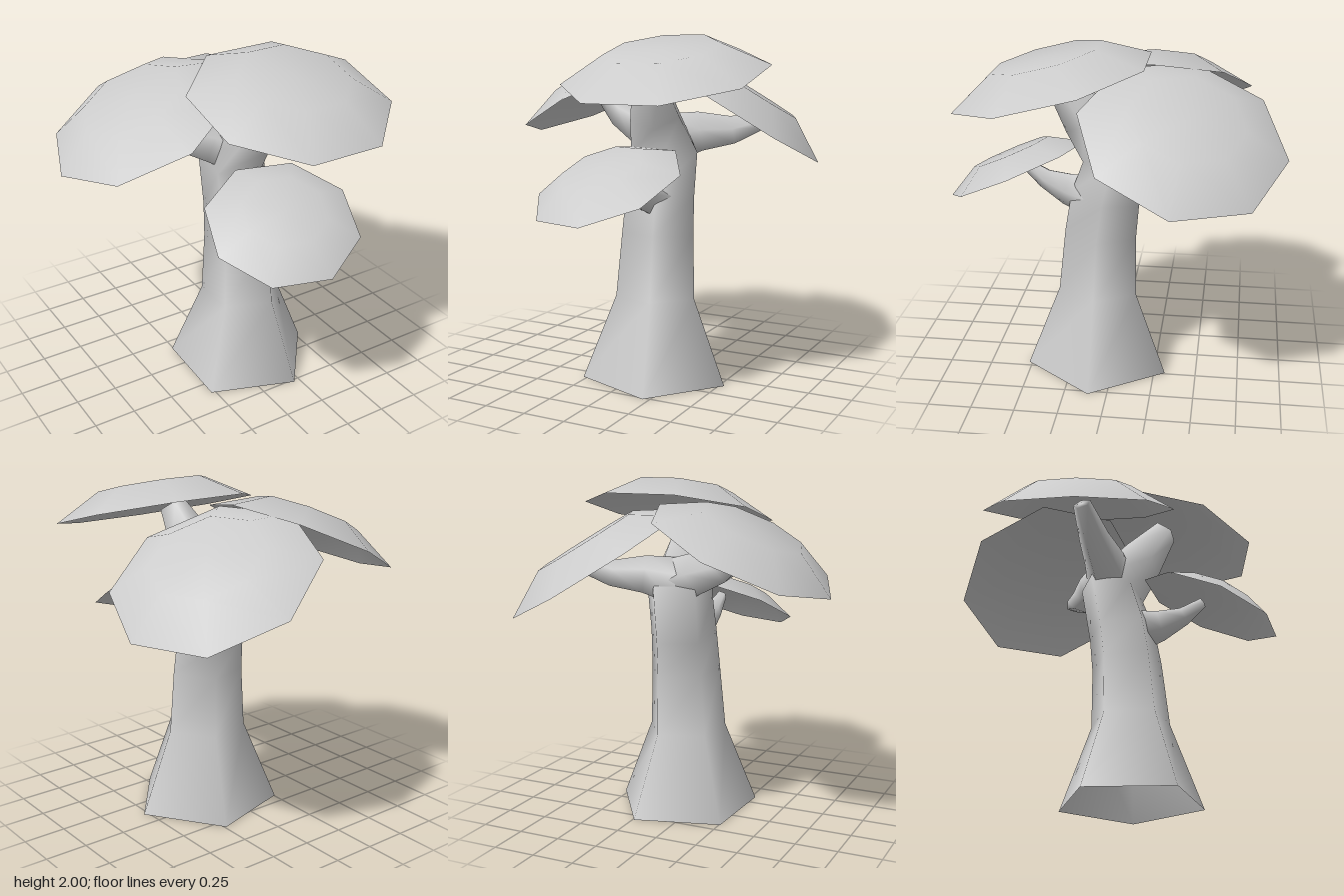
import * as THREE from 'three';

const material = new THREE.MeshStandardMaterial({ color: 0xcccccc, side: THREE.DoubleSide });
const SIDES = 5;

// Smooth five-sided limb through rings [x, y, z, radius], closed at its tip
function limb(name, rings, phase = 0.035) {
  const centres = rings.map(([x, y, z]) => new THREE.Vector3(x, y, z));
  const last = rings.length - 1;
  const positions = [], index = [];
  const up = new THREE.Vector3(0, 1, 0);
  rings.forEach((ring, i) => {
    const tangent = centres[Math.min(i + 1, last)].clone()
      .sub(centres[Math.max(i - 1, 0)]).normalize();
    const turn = new THREE.Quaternion().setFromUnitVectors(up, tangent);
    for (let j = 0; j < SIDES; j++) {
      const a = phase + (j / SIDES) * Math.PI * 2;
      const p = new THREE.Vector3(Math.cos(a), 0, Math.sin(a))
        .multiplyScalar(ring[3]).applyQuaternion(turn).add(centres[i]);
      positions.push(p.x, p.y, p.z);
      if (i < last) {
        const k = (j + 1) % SIDES;
        const p0 = i * SIDES + j, p1 = i * SIDES + k;
        index.push(p0, p0 + SIDES, p1, p1, p0 + SIDES, p1 + SIDES);
      }
    }
  });
  const tip = positions.length / 3;
  positions.push(...centres[last].toArray());
  for (let j = 0; j < SIDES; j++) {
    index.push(last * SIDES + j, tip, last * SIDES + ((j + 1) % SIDES));
  }
  const geometry = new THREE.BufferGeometry();
  geometry.setAttribute('position', new THREE.Float32BufferAttribute(positions, 3));
  geometry.setIndex(index);
  geometry.computeVertexNormals();
  const mesh = new THREE.Mesh(geometry, material);
  mesh.name = name;
  return mesh;
}

// Hollow eight-sided leaf cap: sloping rim and flat top, one corner pointing along "corner"
function leafCap(name, centre, normal, corner, radius) {
  const height = radius * 0.25;
  const profile = [
    new THREE.Vector2(radius, 0),
    new THREE.Vector2(radius * 0.55, height),
    new THREE.Vector2(0, height),
  ];
  const mesh = new THREE.Mesh(new THREE.LatheGeometry(profile, 8), material);
  const y = new THREE.Vector3(...normal).normalize();
  const x = new THREE.Vector3().crossVectors(y, new THREE.Vector3(...corner)).normalize();
  const z = new THREE.Vector3().crossVectors(x, y);
  mesh.quaternion.setFromRotationMatrix(new THREE.Matrix4().makeBasis(x, y, z));
  mesh.position.set(...centre);
  mesh.name = name;
  return mesh;
}

export function createModel() {
  const tree = new THREE.Group();
  tree.name = 'tree';

  // Flared trunk that bends forward into the highest branch
  tree.add(limb('trunk', [
    [0.09, 0, 0.097, 0.44],
    [0.09, 0.49, 0.097, 0.243],
    [0.095, 0.86, 0.078, 0.22],
    [0.095, 1.08, 0.05, 0.21],
    [0.09, 1.34, -0.01, 0.205],
    [0.11, 1.56, 0.16, 0.15],
    [0.14, 1.79, 0.32, 0.085],
  ]));

  // Side branches
  tree.add(limb('rightBranch', [
    [0.08, 1.4, -0.02, 0.15],
    [-0.06, 1.46, -0.05, 0.13],
    [-0.24, 1.52, -0.11, 0.095],
    [-0.43, 1.65, -0.18, 0.055],
  ]));
  tree.add(limb('leftBranch', [
    [0.1, 1.4, -0.04, 0.15],
    [0.26, 1.44, -0.12, 0.12],
    [0.43, 1.45, -0.2, 0.085],
    [0.61, 1.51, -0.28, 0.045],
  ]));
  tree.add(limb('frontBranch', [
    [0.09, 1.08, 0.12, 0.14],
    [0.08, 1.11, 0.28, 0.1],
    [0.06, 1.16, 0.42, 0.06],
    [0.05, 1.245, 0.54, 0.033],
  ]));

  // Leaf caps
  tree.add(leafCap('topLeafCap', [0.25, 1.785, 0.325], [0, 0.342, 0.0875], [0.55, -0.055, 0.22], 0.58));
  tree.add(leafCap('rightLeafCap', [-0.395, 1.63, -0.2], [-0.42, 0.906, 0], [0, 0, 1], 0.56));
  tree.add(leafCap('leftLeafCap', [0.39, 1.545, -0.4], [0.169, 0.3, -0.074], [0.52, -0.285, 0.03], 0.583));
  tree.add(leafCap('frontLeafCap', [0.035, 1.2, 0.585], [-0.0255, 0.1695, 0.075], [-0.425, -0.075, 0.025], 0.432));

  return tree;
}
